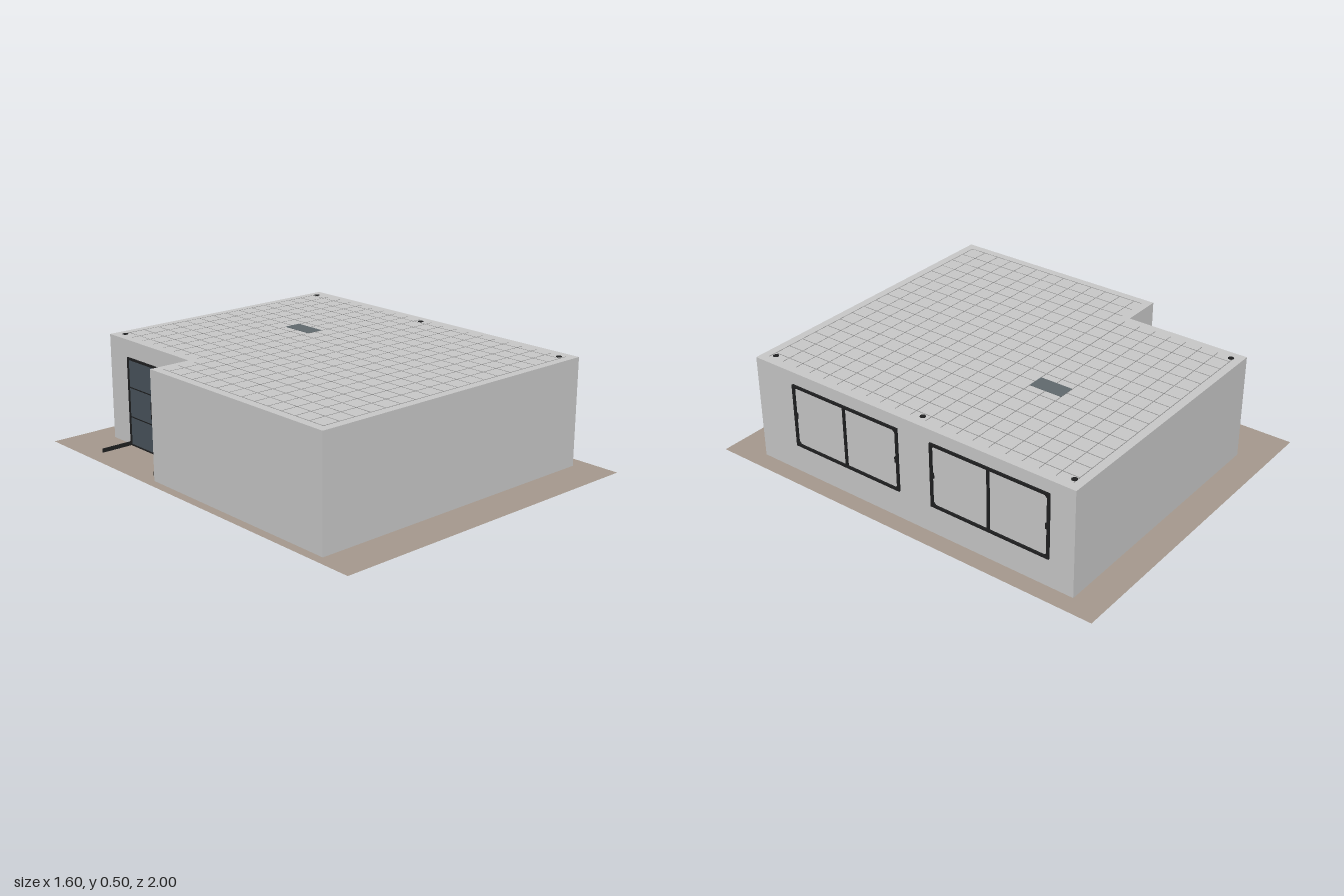
import * as THREE from 'three';

const mat = (name, color, side = THREE.FrontSide) => {
  const m = new THREE.MeshStandardMaterial({ color, side });
  m.name = name;
  return m;
};

export function createModel() {
  const wallGrey = mat('wall grey', 0xc5c5c5);
  const groundBrown = mat('ground brown', 0xa3978c, THREE.DoubleSide);
  const frameBlack = mat('frame black', 0x1e1f20);
  const doorSlate = mat('door slate', 0x47525a);
  const hatchGrey = mat('hatch grey', 0x5f686c);
  const seamGrey = mat('seam grey', 0x8c8c8c);

  const model = new THREE.Group();
  model.name = 'building';

  const add = (parent, name, geometry, material, x = 0, y = 0, z = 0) => {
    const mesh = new THREE.Mesh(geometry, material);
    mesh.name = name;
    mesh.position.set(x, y, z);
    parent.add(mesh);
    return mesh;
  };
  const box = (parent, name, material, w, h, d, x, y, z) =>
    add(parent, name, new THREE.BoxGeometry(w, h, d), material, x, y, z);

  // Flat panel with rectangular holes, extruded towards local +z
  const rect = (Type, x0, y0, x1, y1) =>
    new Type([[x0, y0], [x1, y0], [x1, y1], [x0, y1]].map(([x, y]) => new THREE.Vector2(x, y)));
  const framed = (outer, holes, depth) => {
    const shape = rect(THREE.Shape, ...outer);
    shape.holes = holes.map((h) => rect(THREE.Path, ...h));
    return new THREE.ExtrudeGeometry(shape, { depth, bevelEnabled: false });
  };

  // Ground sheet
  add(model, 'ground', new THREE.PlaneGeometry(1.6, 2).rotateX(-Math.PI / 2), groundBrown);

  // Walls and flat roof, with the entrance corner cut away
  const plan = [[-0.76, 0.82], [0.72, 0.82], [0.72, -0.86], [-0.56, -0.86], [-0.56, -0.26], [-0.76, -0.26]];
  const footprint = new THREE.Shape(plan.map(([x, z]) => new THREE.Vector2(x, -z)));
  add(model, 'walls', new THREE.ExtrudeGeometry(footprint, { depth: 0.498, bevelEnabled: false })
    .rotateX(-Math.PI / 2), wallGrey, 0, 0.002, 0);

  // Roof tile seams on a square pitch, shortened beside the entrance corner
  const seams = new THREE.Group();
  seams.name = 'roofSeams';
  model.add(seams);
  const pitch = 0.08, seam = 0.003;
  for (let x = -0.72; x < 0.7; x += pitch) {
    const back = x < -0.55 ? -0.22 : -0.82;
    box(seams, 'seam', seamGrey, seam, 0.001, 0.78 - back, x, 0.5002, (0.78 + back) / 2);
  }
  for (let z = -0.82; z < 0.79; z += pitch) {
    const left = z < -0.25 ? -0.52 : -0.72;
    box(seams, 'seam', seamGrey, 0.68 - left, 0.001, seam, (0.68 + left) / 2, 0.5002, z);
  }

  // Roof hatch and small corner fittings
  box(model, 'roofHatch', hatchGrey, 0.08, 0.004, 0.16, 0.16, 0.5, -0.34);
  for (const [x, z] of [[-0.51, -0.81], [0.66, -0.81], [0.66, 0.76], [0.66, -0.07]]) {
    add(model, 'roofFitting', new THREE.CylinderGeometry(0.013, 0.013, 0.003, 12), frameBlack, x, 0.5005, z);
  }

  // Two double windows on the left wall
  for (const z of [0.31, -0.45]) {
    const win = new THREE.Group();
    win.name = 'window';
    win.position.set(0.72, 0.29, z);
    win.rotation.y = Math.PI / 2;
    model.add(win);
    add(win, 'windowFrame', framed([-0.295, -0.152, 0.295, 0.152],
      [[-0.284, -0.141, -0.005, 0.141], [0.005, -0.141, 0.284, 0.141]], 0.009), frameBlack);
    for (const s of [-1, 1]) {
      box(win, 'windowHandle', frameBlack, 0.008, 0.025, 0.008, s * 0.281, 0, 0.005);
      for (const t of [-1, 1]) {
        const bracket = box(win, 'cornerBracket', frameBlack, 0.022, 0.01, 0.007, s * 0.281, t * 0.138, 0.004);
        bracket.rotation.z = -s * t * Math.PI / 4;
      }
    }
  }

  // Double door in the entrance corner
  const door = new THREE.Group();
  door.name = 'entranceDoor';
  door.position.set(-0.56, 0, -0.52);
  door.rotation.y = -Math.PI / 2;
  model.add(door);
  add(door, 'doorFrame', framed([-0.2, 0.002, 0.2, 0.42],
    [[-0.19, 0.008, -0.003, 0.41], [0.003, 0.008, 0.19, 0.41]], 0.008), frameBlack);
  for (const s of [-1, 1]) {
    box(door, 'doorLeaf', doorSlate, 0.187, 0.402, 0.004, s * 0.0965, 0.209, 0.002);
    for (const y of [0.14, 0.28]) box(door, 'doorRail', frameBlack, 0.187, 0.005, 0.003, s * 0.0965, y, 0.004);
    box(door, 'doorHandle', frameBlack, 0.006, 0.08, 0.008, s * 0.018, 0.21, 0.008);
    // Low kerbs flanking the doorway
    box(model, 'entranceKerb', frameBlack, 0.16, 0.018, 0.006, -0.64, 0.009, -0.52 + s * 0.2);
  }

  return model;
}
